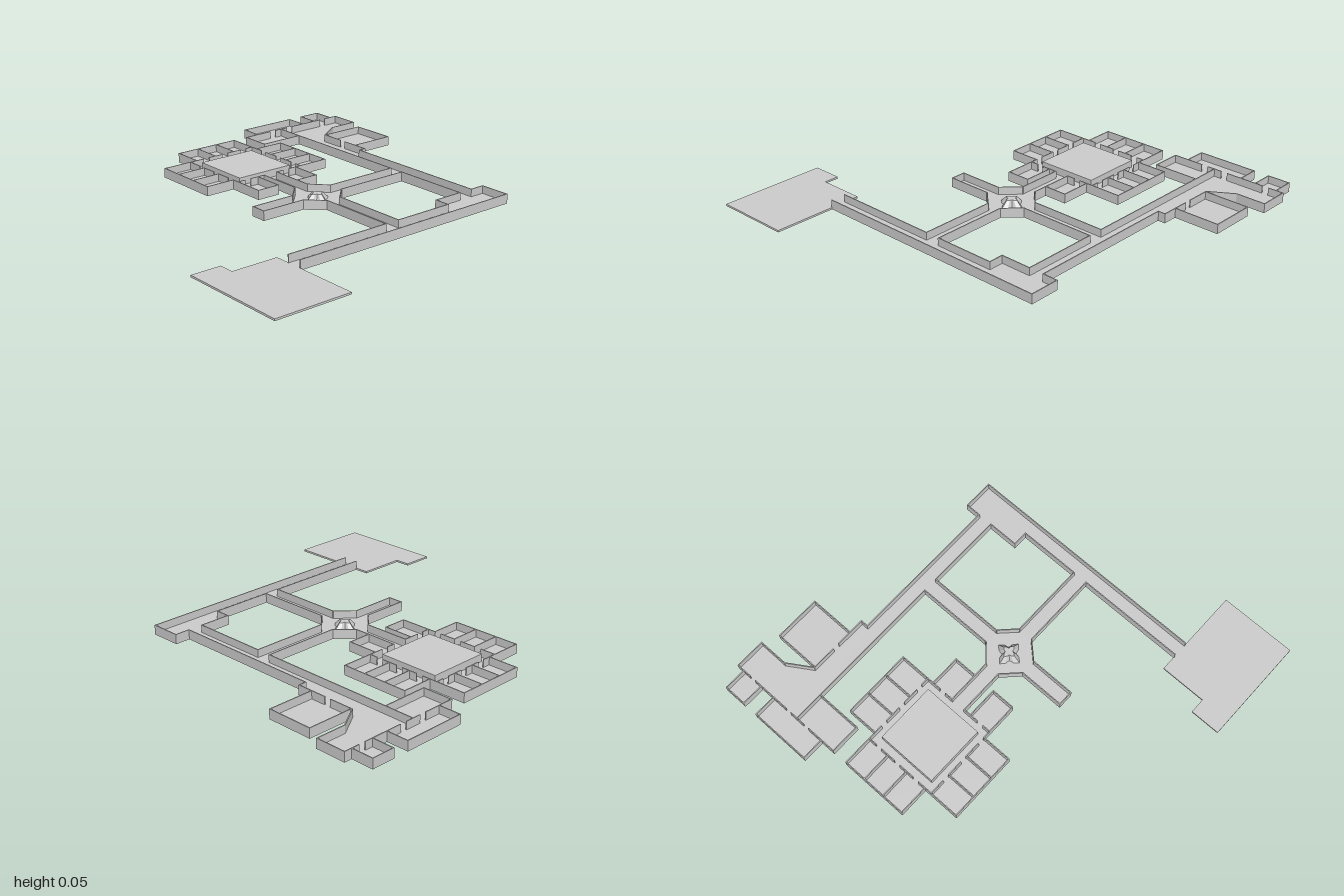
import * as THREE from 'three';
import { mergeGeometries } from 'three/addons/utils/BufferGeometryUtils.js';

const FLOOR = 0.01, HEIGHT = 0.05, THICK = 0.005;

export function createModel() {
  const model = new THREE.Group();
  const mat = new THREE.MeshStandardMaterial({ color: 0xcccccc, flatShading: true });

  function add(name, geometry) {
    const mesh = new THREE.Mesh(geometry, mat);
    mesh.name = name;
    model.add(mesh);
    return mesh;
  }

  // Flat slab from a plan outline of [x, z] corners
  function slab(points, h = FLOOR) {
    const shape = new THREE.Shape(points.map(([x, z]) => new THREE.Vector2(x, -z)));
    return new THREE.ExtrudeGeometry(shape, { depth: h, bevelEnabled: false }).rotateX(-Math.PI / 2);
  }
  const rect = (x1, z1, x2, z2, h) => slab([[x1, z1], [x2, z1], [x2, z2], [x1, z2]], h);

  // Thin upright wall along a plan line
  function wall(x1, z1, x2, z2) {
    const dx = x2 - x1, dz = z2 - z1;
    const g = new THREE.BoxGeometry(Math.hypot(dx, dz) + THICK, HEIGHT, THICK);
    g.rotateY(-Math.atan2(dz, dx));
    return g.translate((x1 + x2) / 2, HEIGHT / 2, (z1 + z2) / 2);
  }
  const walls = (name, lines) => add(name, mergeGeometries(lines.map((l) => wall(...l))));
  // Run of walls through consecutive corners
  const run = (...p) => p.slice(1).map((b, i) => [...p[i], ...b]);

  // Open entrance yard
  add('entranceYard', slab([[-0.98, 0.43], [-0.82, 0.43], [-0.82, 0.51], [-0.575, 0.51], [-0.575, 1], [-0.98, 1]]));

  // Corridors
  add('southCorridorFloor', slab([[-0.575, 0.59], [0.405, 0.59], [0.405, 0.51], [0.73, 0.51], [0.73, 0.67], [-0.575, 0.67]]));
  add('middleCorridorFloor', rect(0, 0.18, 0.08, 0.59));
  add('northCorridorFloor', rect(0, -0.31, 0.08, -0.065));
  add('westCorridorFloor', rect(-0.325, 0.02, -0.085, 0.1));
  add('crossCorridorFloor', rect(0.16, 0.02, 0.57, 0.1));
  add('eastCorridorFloor', slab([[0.57, -0.72], [0.815, -0.72], [0.69, -0.64], [0.69, -0.31], [0.65, -0.31], [0.65, 0.51], [0.57, 0.51]]));
  walls('corridorWalls', [
    ...run([-0.575, 0.59], [0, 0.59], [0, 0.18], [-0.085, 0.1], [-0.325, 0.1], [-0.325, 0.02], [-0.085, 0.02], [0, -0.065], [0, -0.31]),
    ...run([0.08, -0.31], [0.08, -0.065], [0.16, 0.02], [0.57, 0.02], [0.57, -0.72], [0.325, -0.72]),
    ...run([0.08, 0.59], [0.08, 0.18], [0.16, 0.1], [0.57, 0.1], [0.57, 0.51], [0.405, 0.51], [0.405, 0.59], [0.08, 0.59]),
    ...run([-0.575, 0.67], [0.73, 0.67], [0.73, 0.51], [0.65, 0.51], [0.65, -0.31], [0.69, -0.31], [0.69, -0.47]),
    ...run([0.69, -0.51], [0.69, -0.64], [0.815, -0.72], [0.975, -0.72]),
  ]);

  // Eight-sided crossing with a star-shaped centrepiece
  add('crossingFloor', slab([[-0.085, 0.02], [0, -0.065], [0.08, -0.065], [0.16, 0.02], [0.16, 0.1], [0.08, 0.18], [0, 0.18], [-0.085, 0.1]]));
  const star = new THREE.CylinderGeometry(0.035, 0.07, 0.035, 16);
  const pos = star.attributes.position;
  for (let i = 0; i < pos.count; i++) {
    const a = Math.atan2(pos.getZ(i), pos.getX(i));
    const s = 0.75 + 0.25 * Math.cos(4 * a);
    pos.setX(i, pos.getX(i) * s);
    pos.setZ(i, pos.getZ(i) * s);
  }
  star.computeVertexNormals();
  add('crossingCentrepiece', star).position.set(0.04, FLOOR + 0.0175, 0.058);

  // Great hall with its raised middle block
  add('hallFloor', rect(-0.165, -0.72, 0.24, -0.31));
  add('hallPlatform', rect(-0.125, -0.675, 0.2, -0.35, HEIGHT));
  const hall = [
    [-0.165, -0.72, -0.125, -0.72],
    [-0.165, -0.35, -0.165, -0.31],
    [-0.04, -0.31, 0, -0.31],
    [0.2, -0.31, 0.24, -0.31],
    [0.24, -0.72, 0.24, -0.68],
  ];
  walls('hallWalls', hall);

  // Cells around the hall: doorway side, outline, doorway position along that side
  const cells = [];
  const split = (a, b) => [0, 1, 2].map((i) => [a + (b - a) * i / 3, a + (b - a) * (i + 1) / 3]);
  split(-0.125, 0.24).forEach(([a, b]) => cells.push({ axis: 'x', a, b, near: -0.72, far: -0.88, door: 0.5 }));
  split(-0.72, -0.35).forEach(([a, b]) => cells.push({ axis: 'z', a, b, near: -0.165, far: -0.325, door: 0.82 }));
  split(-0.68, -0.31).forEach(([a, b]) => cells.push({ axis: 'z', a, b, near: 0.24, far: 0.405, door: 0.5 }));
  [[-0.165, -0.04], [0.08, 0.205]].forEach(([a, b]) => cells.push({ axis: 'x', a, b, near: -0.31, far: -0.145, door: 0.5 }));
  cells.forEach(({ axis, a, b, near, far, door }, i) => {
    const p = (along, across) => (axis === 'x' ? [along, across] : [across, along]);
    const d = a + (b - a) * door;
    const lo = [Math.min(near, far), Math.max(near, far)];
    add('cellFloor' + (i + 1), axis === 'x' ? rect(a, lo[0], b, lo[1]) : rect(lo[0], a, lo[1], b));
    walls('cellWalls' + (i + 1), run(p(d - 0.02, near), p(a, near), p(a, far), p(b, far), p(b, near), p(d + 0.02, near)));
  });

  // North-east wing
  add('wingFloor', rect(0.325, -0.88, 0.975, -0.72));
  add('wingLargeRoomFloor', rect(0.405, -1, 0.73, -0.88));
  add('wingSmallRoomFloor', rect(0.815, -1, 0.935, -0.88));
  walls('wingWalls', [
    ...run([0.325, -0.72], [0.325, -0.88], [0.49, -0.88]),
    [0.53, -0.88, 0.61, -0.88],
    [0.57, -0.88, 0.57, -0.72],
    ...run([0.65, -0.88], [0.855, -0.88]),
    ...run([0.895, -0.88], [0.975, -0.88], [0.975, -0.72]),
    ...run([0.405, -0.88], [0.405, -0.998], [0.73, -0.998], [0.73, -0.88]),
    ...run([0.815, -0.88], [0.815, -0.998], [0.935, -0.998], [0.935, -0.88]),
  ]);

  // East room
  add('eastRoomFloor', rect(0.69, -0.635, 0.935, -0.39));
  walls('eastRoomWalls', run([0.69, -0.635], [0.935, -0.635], [0.935, -0.39], [0.69, -0.39]));

  return model;
}
